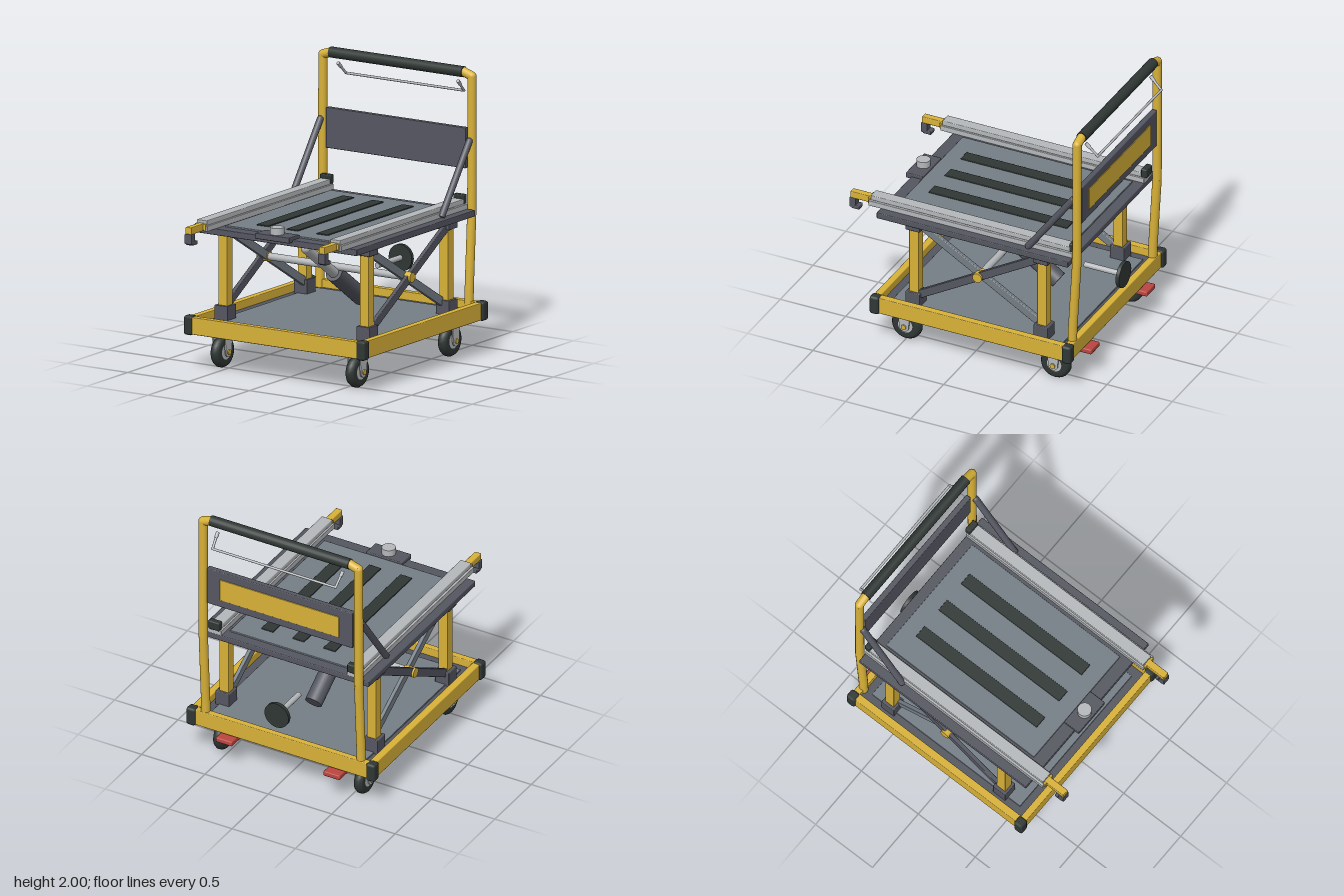
import * as THREE from 'three';
import { RoundedBoxGeometry } from 'three/addons/geometries/RoundedBoxGeometry.js';

const mat = (name, color) => Object.assign(new THREE.MeshStandardMaterial({ color }), { name });

export function createModel() {
  const yellow = mat('yellow paint', 0xd9b238);
  const dark = mat('dark grey steel', 0x555761);
  const grey = mat('mid grey panel', 0x757e86);
  const silver = mat('light metal', 0xb6b9bc);
  const black = mat('black rubber', 0x2f3734);
  const red = mat('red pedal', 0xbc4640);

  const model = new THREE.Group();
  model.name = 'liftCart';

  const add = (name, geometry, material, parent = model) => {
    const mesh = new THREE.Mesh(geometry, material);
    mesh.name = name;
    parent.add(mesh);
    return mesh;
  };

  // Box given by its limits on each axis, with softened edges
  const box = (name, [x0, x1], [y0, y1], [z0, z1], material, bevel = 0.006, parent = model) => {
    const w = x1 - x0, h = y1 - y0, d = z1 - z0;
    const b = Math.min(bevel, Math.min(w, h, d) * 0.4);
    const mesh = add(name, new RoundedBoxGeometry(w, h, d, 1, b), material, parent);
    mesh.position.set((x0 + x1) / 2, (y0 + y1) / 2, (z0 + z1) / 2);
    return mesh;
  };

  // Round bar between two points
  const rod = (name, a, b, r, material, sides = 16, parent = model) => {
    const p = new THREE.Vector3(...a), q = new THREE.Vector3(...b);
    const mesh = add(name, new THREE.CylinderGeometry(r, r, p.distanceTo(q), sides), material, parent);
    mesh.position.copy(p).add(q).multiplyScalar(0.5);
    mesh.quaternion.setFromUnitVectors(new THREE.Vector3(0, 1, 0), q.sub(p).normalize());
    return mesh;
  };

  const ball = (name, p, r, material) =>
    add(name, new THREE.SphereGeometry(r, 16, 10), material).position.set(...p);

  // Symmetric span and span about a centre
  const half = (w) => [-w, w];
  const around = (c, w) => [c - w / 2, c + w / 2];

  // Base frame and deck
  box('baseDeck', half(0.68), [0.265, 0.315], [-0.79, 0.65], dark);
  box('baseDeckPanel', half(0.61), [0.31, 0.325], [-0.72, 0.58], grey, 0.003);
  for (const z of [0.665, -0.8]) box('baseCrossBeam', half(0.7), [0.25, 0.372], around(z, 0.05), yellow);
  for (const s of [-1, 1]) {
    box('baseSideBeam', around(s * 0.7, 0.055), [0.25, 0.372], [-0.8, 0.665], yellow);
    for (const z of [0.665, -0.805])
      box('cornerBumper', around(s * 0.709, 0.072), [0.243, 0.38], around(z, 0.072), black, 0.018);
  }

  // Swivel casters
  const tyre = [[0.055, -0.034], [0.085, -0.036], [0.1, -0.03], [0.112, -0.012],
    [0.112, 0.012], [0.1, 0.03], [0.085, 0.036], [0.055, 0.034]].map(([r, y]) => new THREE.Vector2(r, y));
  const forkShape = new THREE.Shape();
  forkShape.moveTo(-0.045, 0.12);
  forkShape.lineTo(-0.036, 0);
  forkShape.absarc(0, 0, 0.036, Math.PI, Math.PI * 2, false);
  forkShape.lineTo(0.045, 0.12);
  const forkGeo = new THREE.ExtrudeGeometry(forkShape, { depth: 0.01, bevelEnabled: false, curveSegments: 10 });
  for (const x of [-0.555, 0.555]) for (const z of [0.5, -0.64]) {
    const caster = new THREE.Group();
    caster.name = 'caster';
    caster.position.set(x, 0.115, z);
    model.add(caster);
    add('tyre', new THREE.LatheGeometry(tyre, 24), black, caster).rotation.z = Math.PI / 2;
    rod('wheelHub', [-0.032, 0, 0], [0.032, 0, 0], 0.06, silver, 20, caster);
    rod('axle', [-0.064, 0, 0], [0.064, 0, 0], 0.019, yellow, 10, caster);
    for (const s of [-1, 1]) {
      const fork = add('forkPlate', forkGeo, silver, caster);
      fork.rotation.y = Math.PI / 2;
      fork.position.x = s * 0.05 - 0.005;
    }
    box('forkBridge', half(0.055), [0.112, 0.124], half(0.045), silver, 0.003, caster);
    box('mountPlate', half(0.07), [0.123, 0.137], half(0.07), silver, 0.003, caster);
  }

  // Corner posts with end brackets
  for (const s of [-1, 1]) for (const z of [0.42, -0.56]) {
    box('liftPost', around(s * 0.582, 0.074), [0.36, 0.97], around(z, 0.074), yellow);
    box('postFoot', around(s * 0.585, 0.11), [0.31, 0.424], around(z, 0.11), dark);
    box('postHead', around(s * 0.585, 0.11), [0.92, 0.975], around(z, 0.11), dark);
  }

  // Scissor arms, pivots and the shaft between them
  const armLength = Math.hypot(0.98, 0.57), armTilt = Math.atan2(0.57, 0.98);
  for (const s of [-1, 1]) {
    for (const [x, tilt, m, name] of [[0.6, armTilt, dark, 'outerScissorArm'], [0.565, -armTilt, grey, 'innerScissorArm']]) {
      const arm = add(name, new RoundedBoxGeometry(0.03, 0.06, armLength, 1, 0.005), m);
      arm.position.set(s * x, 0.672, -0.07);
      arm.rotation.x = tilt;
    }
    rod('scissorPivot', [s * 0.545, 0.672, -0.07], [s * 0.63, 0.672, -0.07], 0.035, yellow, 20);
    // Foot brake pedals
    box('brakePedal', s > 0 ? [0.36, 0.49] : [-0.49, -0.36], [0.2, 0.237], [-0.875, -0.76], red, 0.008);
    rod('pedalLever', [s * 0.43, 0.225, -0.78], [s * 0.52, 0.24, -0.68], 0.012, silver, 8);
  }
  rod('crossShaft', [-0.56, 0.672, -0.07], [0.56, 0.672, -0.07], 0.026, silver);

  // Hydraulic ram and pump handle
  rod('ramCylinder', [0, 0.4, -0.38], [0, 0.63, -0.045], 0.062, dark, 24);
  rod('ramRod', [0, 0.62, -0.06], [0, 0.868, 0.3], 0.036, silver, 20);
  ball('ramRodEnd', [0, 0.868, 0.3], 0.036, silver);
  rod('releaseRod', [0, 0.58, -0.58], [0, 0.58, -0.87], 0.02, silver);
  rod('releaseDisc', [0, 0.58, -0.862], [0, 0.58, -0.888], 0.095, black, 28);

  // Raised platform
  box('platform', half(0.67), [0.97, 1.015], [-0.785, 0.68], dark);
  box('platformPanel', half(0.47), [1.01, 1.026], [-0.71, 0.59], grey, 0.004);
  for (const x of [-0.245, 0, 0.245])
    box('gripStrip', around(x, 0.094), [1.025, 1.034], [-0.59, 0.47], black, 0.003);
  box('latchBlock', half(0.142), [0.998, 1.038], [0.59, 0.72], dark);
  rod('latchKnob', [0, 1.035, 0.655], [0, 1.086, 0.655], 0.049, silver, 24);

  // Side rails with sliding hooks
  for (const s of [-1, 1]) {
    const x = s * 0.548;
    box('railBase', around(s * 0.55, 0.112), [1.012, 1.052], [-0.785, 0.775], silver, 0.004);
    box('railTop', around(x, 0.084), [1.05, 1.086], [-0.785, 0.765], silver, 0.006);
    box('railCollar', around(x, 0.088), [1.02, 1.064], [0.765, 0.785], yellow, 0.004);
    box('slider', around(x, 0.05), [1.015, 1.066], [0.74, 0.93], yellow);
    box('hookStem', around(x, 0.06), [0.945, 1.018], [0.887, 0.935], dark);
    box('hookToe', around(x, 0.06), [0.937, 0.965], [0.858, 0.92], dark);
    box('railStop', around(x, 0.088), [1.05, 1.116], [-0.8, -0.755], black, 0.008);
  }

  // Push handle
  for (const s of [-1, 1]) {
    const path = [[s * 0.613, 0.29, -0.79], [s * 0.613, 0.45, -0.794], [s * 0.613, 1.0, -0.826],
      [s * 0.613, 1.94, -0.828], [s * 0.535, 1.966, -0.828]];
    for (let i = 0; i < path.length - 1; i++) {
      rod('handleTube', path[i], path[i + 1], 0.032, yellow);
      if (i) ball('handleJoint', path[i], 0.032, yellow);
    }
    // Diagonal braces
    rod('handleBrace', [s * 0.613, 1.49, -0.795], [s * 0.613, 1.02, -0.45], 0.024, dark);
    ball('braceEnd', [s * 0.613, 1.49, -0.795], 0.024, dark);
    // Wire hanger arms
    rod('hangerArm', [s * 0.492, 1.88, -0.845], [s * 0.485, 1.805, -0.922], 0.009, silver, 10);
    rod('hangerSocket', [s * 0.493, 1.89, -0.835], [s * 0.491, 1.862, -0.864], 0.013, silver, 10);
    ball('hangerCorner', [s * 0.485, 1.805, -0.922], 0.009, silver);
  }
  rod('handleGrip', [-0.548, 1.962, -0.828], [0.548, 1.962, -0.828], 0.038, black, 20);
  rod('hangerBar', [-0.485, 1.805, -0.922], [0.485, 1.805, -0.922], 0.009, silver, 10);

  // Back board with coloured plate behind
  box('backBoard', half(0.575), [1.29, 1.575], [-0.845, -0.805], dark);
  box('backPlate', half(0.47), [1.35, 1.515], [-0.851, -0.843], yellow, 0.002);

  return model;
}
